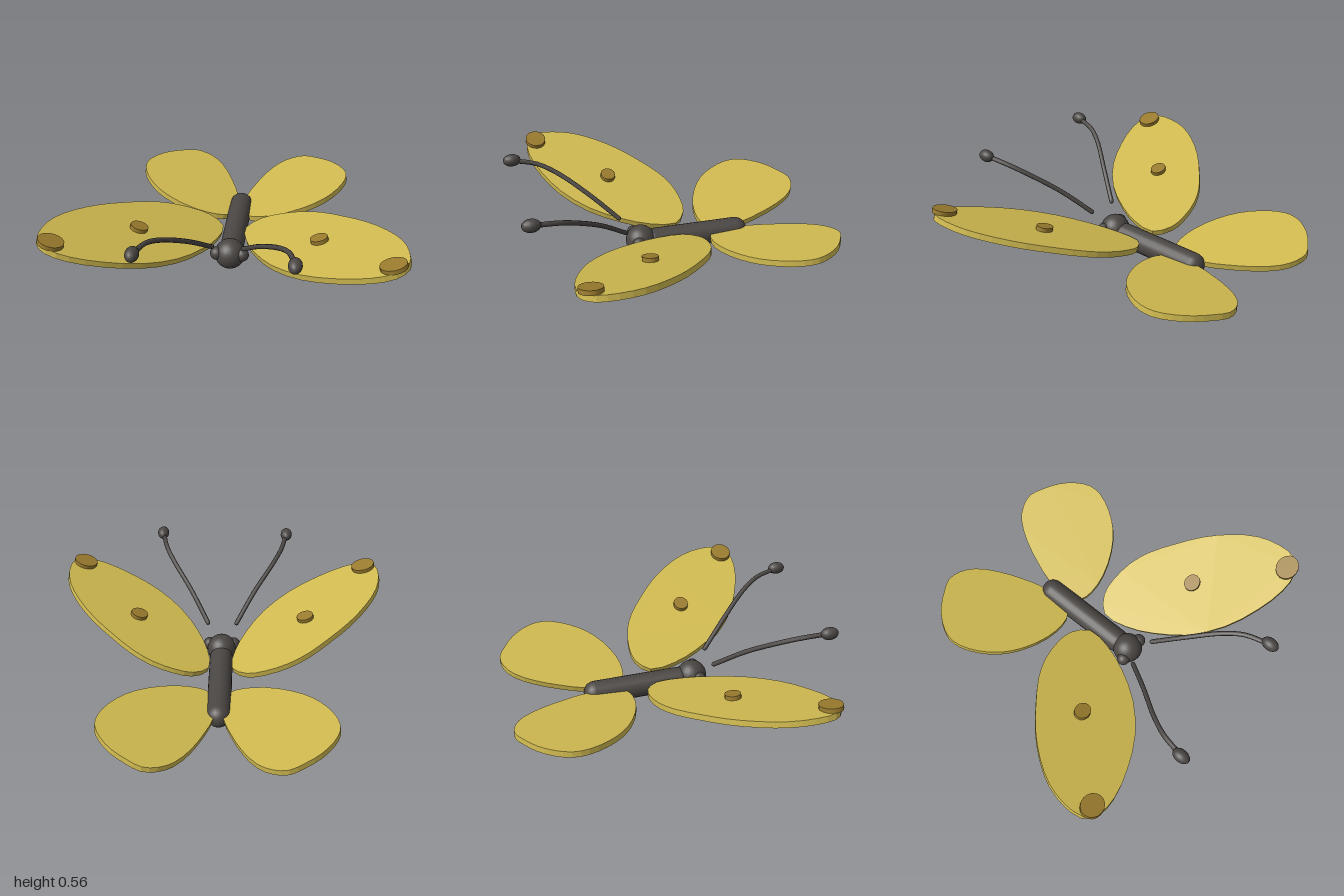
import * as THREE from 'three';

const paint = (name, color) => {
  const m = new THREE.MeshStandardMaterial({ color });
  m.name = name;
  return m;
};

// Each wing lies on the plane y = a + b * |x| + c * z; outlines are [x, z]
const FORE = {
  a: 0.099, b: 0.296, c: 0.047,
  outline: [[0.075, -0.05], [0.165, -0.128], [0.27, -0.14], [0.406, -0.118], [0.524, -0.064],
    [0.65, 0.03], [0.78, 0.144], [0.89, 0.278], [0.963, 0.41], [0.993, 0.545], [0.982, 0.658],
    [0.914, 0.72], [0.79, 0.727], [0.62, 0.68], [0.433, 0.588], [0.27, 0.444], [0.155, 0.267],
    [0.09, 0.107]],
};
const HIND = {
  a: 0.064, b: 0.167, c: -0.0365,
  outline: [[0.03, -0.465], [0.075, -0.604], [0.14, -0.75], [0.22, -0.866], [0.3, -0.92],
    [0.385, -0.934], [0.47, -0.893], [0.556, -0.834], [0.626, -0.754], [0.668, -0.663],
    [0.663, -0.572], [0.615, -0.465], [0.535, -0.364], [0.42, -0.283], [0.27, -0.225],
    [0.14, -0.214], [0.06, -0.24], [0.03, -0.34]],
};
const THICK = 0.035;

const planeNormal = (w, s) => new THREE.Vector3(-s * w.b, 1, -w.c).normalize();
const planeHeight = (w, x, z) => w.a + w.b * Math.abs(x) + w.c * z;

// Flat slab extruded from the outline, then laid on the sloping plane
function wingGeometry(w, s) {
  const curve = new THREE.CatmullRomCurve3(
    w.outline.map(([x, z]) => new THREE.Vector3(s * x, -z, 0)), true);
  const pts = curve.getPoints(36).slice(0, -1).map(p => new THREE.Vector2(p.x, p.y));
  const geo = new THREE.ExtrudeGeometry(new THREE.Shape(pts), { depth: THICK, bevelEnabled: false });
  geo.rotateX(-Math.PI / 2).translate(0, -THICK / 2, 0);
  const n = planeNormal(w, s), pos = geo.attributes.position, v = new THREE.Vector3();
  for (let i = 0; i < pos.count; i++) {
    v.fromBufferAttribute(pos, i);
    const h = v.y;
    v.y = planeHeight(w, v.x, v.z);
    v.addScaledVector(n, h);
    pos.setXYZ(i, v.x, v.y, v.z);
  }
  geo.computeVertexNormals();
  return geo;
}

export function createModel() {
  const model = new THREE.Group();
  model.name = 'butterfly';
  const dark = paint('charcoal', 0x4a4643);
  const gold = paint('gold', 0xd0ba50);
  const brown = paint('ochre', 0x9a7b2e);

  const add = (name, geo, mat, x = 0, y = 0, z = 0) => {
    const mesh = new THREE.Mesh(geo, mat);
    mesh.name = name;
    mesh.position.set(x, y, z);
    model.add(mesh);
    return mesh;
  };

  // Body and head
  const body = add('body', new THREE.CapsuleGeometry(0.071, 0.52, 8, 20), dark, 0, 0.081, -0.152);
  body.rotation.x = Math.PI / 2 - 0.015;
  add('head', new THREE.SphereGeometry(0.09, 20, 14), dark, 0, 0.1, 0.19);

  for (const s of [1, -1]) {
    const side = s > 0 ? 'left' : 'right';
    add(side + 'Eye', new THREE.SphereGeometry(0.04, 16, 12), dark, s * 0.075, 0.115, 0.217);

    // Antenna with a club at its tip
    const path = new THREE.CatmullRomCurve3([
      [0.09, 0.215, 0.3], [0.2, 0.35, 0.46], [0.315, 0.458, 0.62],
      [0.372, 0.507, 0.73], [0.405, 0.532, 0.87],
    ].map(([x, y, z]) => new THREE.Vector3(s * x, y, z)));
    add(side + 'Antenna', new THREE.TubeGeometry(path, 20, 0.014, 8), dark);
    add(side + 'AntennaBase', new THREE.SphereGeometry(0.014, 8, 6), dark, s * 0.09, 0.215, 0.3);
    const club = add(side + 'AntennaTip', new THREE.SphereGeometry(1, 14, 10), dark, s * 0.407, 0.534, 0.872);
    club.scale.set(0.037, 0.037, 0.053);

    // Wings
    add(side + 'ForeWing', wingGeometry(FORE, s), gold);
    add(side + 'HindWing', wingGeometry(HIND, s), gold);

    // Raised spots on the fore wing
    const n = planeNormal(FORE, s);
    for (const [name, x, z, r] of [['InnerSpot', 0.525, 0.27, 0.052], ['OuterSpot', 0.91, 0.667, 0.073]]) {
      const spot = add(side + name, new THREE.CylinderGeometry(r, r, 0.026, 16), brown,
        s * x, planeHeight(FORE, x, z), z);
      spot.position.addScaledVector(n, THICK / 2 + 0.011);
      spot.scale.z = 0.88;
      spot.quaternion.setFromUnitVectors(new THREE.Vector3(0, 1, 0), n);
    }
  }
  return model;
}
